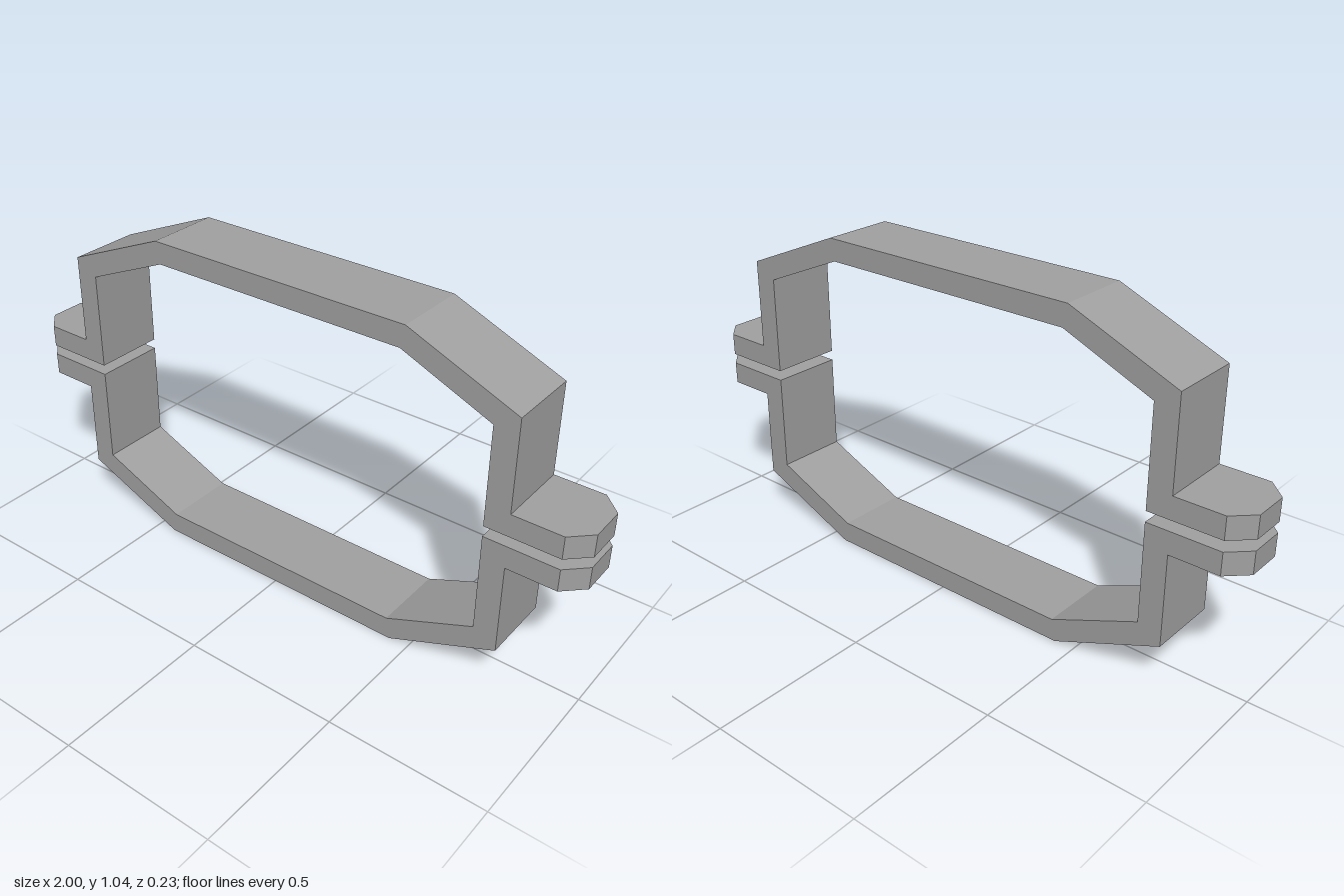
import * as THREE from 'three';

const HEIGHT = 1.045;
const HALF_WIDTH = 0.117;

// Cross-sections of the right side, from flange tip to crown:
// [outer x, outer y, inner x, inner y, half width]
const rightSide = [
  [1.0, 0.61, 1.0, 0.539, 0.058],
  [0.94, 0.61, 0.94, 0.539, HALF_WIDTH],
  [0.785, 0.61, 0.71, 0.539, HALF_WIDTH],
  [0.785, 0.9, 0.71, 0.853, HALF_WIDTH],
  [0.437, HEIGHT, 0.423, 0.975, HALF_WIDTH],
];

// Sweeps a four-sided ring through the sections and caps the flange tips
function bandGeometry() {
  const leftSide = rightSide.map(([ox, oy, ix, iy, h]) => [-ox, oy, -ix, iy, h]).reverse();
  const rings = [...rightSide, ...leftSide].map(([ox, oy, ix, iy, h]) => [
    [ox, oy, h], [ox, oy, -h], [ix, iy, -h], [ix, iy, h],
  ]);
  const positions = [];
  const quad = (a, b, c, d) => positions.push(...a, ...b, ...c, ...a, ...c, ...d);

  for (let i = 0; i < rings.length - 1; i++) {
    const r = rings[i], s = rings[i + 1];
    for (let k = 0; k < 4; k++) {
      const n = (k + 1) % 4;
      quad(r[k], r[n], s[n], s[k]);
    }
  }
  const [a, b, c, d] = rings[0];
  quad(a, d, c, b);
  quad(...rings[rings.length - 1]);

  const geometry = new THREE.BufferGeometry();
  geometry.setAttribute('position', new THREE.Float32BufferAttribute(positions, 3));
  geometry.computeVertexNormals();
  return geometry;
}

export function createModel() {
  const model = new THREE.Group();
  model.name = 'pipeClamp';
  const steel = new THREE.MeshStandardMaterial({ color: 0xa0a0a0, flatShading: true });
  steel.name = 'grey steel';
  const geometry = bandGeometry();

  const upper = new THREE.Mesh(geometry, steel);
  upper.name = 'upperClampHalf';

  // The lower half is the same band turned upside down
  const lower = new THREE.Mesh(geometry, steel);
  lower.name = 'lowerClampHalf';
  lower.rotation.z = Math.PI;
  lower.position.y = HEIGHT;

  model.add(upper, lower);
  return model;
}
